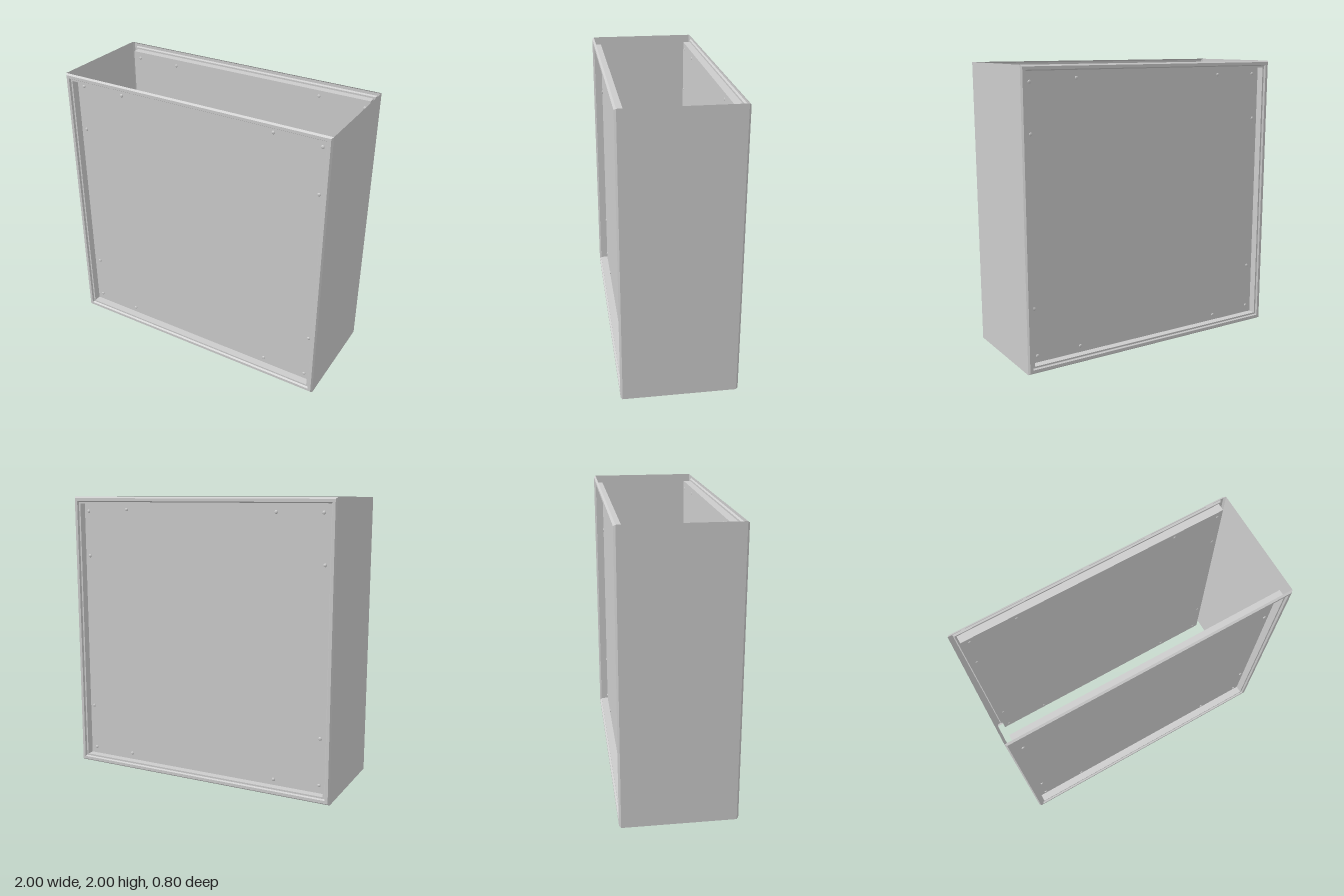
import * as THREE from 'three';

const material = new THREE.MeshStandardMaterial({
  color: 0xcccccc, flatShading: true, side: THREE.DoubleSide,
});
const screwMaterial = new THREE.MeshStandardMaterial({ color: 0xcccccc, side: THREE.DoubleSide });

// Rim profile from the outer edge to the recess floor: [inset, z]
const rimProfile = [
  [0, 0.385], [0.01, 0.398], [0.03, 0.398], [0.037, 0.386], [0.049, 0.386], [0.049, 0.333],
];
const panelZ = 0.333;

// Screw positions on a panel, seen from the front: [x, y]
const screwSpots = [
  [-0.895, 1.905], [-0.57, 1.905], [0.585, 1.91], [0.915, 1.895],
  [-0.91, 1.575], [0.915, 1.57], [-0.905, 0.43], [0.92, 0.425],
  [-0.905, 0.105], [-0.575, 0.09], [0.58, 0.095], [0.905, 0.095],
];

function addMesh(parent, name, geometry, mat = material) {
  const mesh = new THREE.Mesh(geometry, mat);
  mesh.name = name;
  parent.add(mesh);
  return mesh;
}

// Sweeps the profile around the square face as mitred rings
function rimGeometry() {
  const positions = [];
  const indices = [];
  const corners = [[-1, -1], [1, -1], [1, 1], [-1, 1]];
  for (const [inset, z] of rimProfile) {
    for (const [sx, sy] of corners) positions.push(sx * (1 - inset), 1 + sy * (1 - inset), z);
  }
  for (let i = 0; i < rimProfile.length - 1; i++) {
    for (let k = 0; k < 4; k++) {
      const n = (k + 1) % 4;
      const a = i * 4 + k, b = i * 4 + n, c = b + 4, d = a + 4;
      indices.push(a, b, c, a, c, d);
    }
  }
  const geometry = new THREE.BufferGeometry();
  geometry.setAttribute('position', new THREE.Float32BufferAttribute(positions, 3));
  geometry.setIndex(indices);
  geometry.computeVertexNormals();
  return geometry;
}

// One face: rim, recessed panel and screws; mirrorX keeps the screws aligned on the back
function createFace(name, mirrorX) {
  const face = new THREE.Group();
  face.name = name;
  addMesh(face, 'rim', rimGeometry());
  const size = 2 * (1 - 0.049);
  addMesh(face, 'recessedPanel', new THREE.PlaneGeometry(size, size)).position.set(0, 1, panelZ);

  const screwGeometry = new THREE.SphereGeometry(0.012, 12, 8);
  for (const [x, y] of screwSpots) {
    const screw = addMesh(face, 'screw', screwGeometry, screwMaterial);
    screw.position.set(x * mirrorX, y, panelZ + 0.002);
    screw.scale.z = 0.5;
  }
  return face;
}

export function createModel() {
  const model = new THREE.Group();
  model.name = 'openBoxCabinet';

  // Front and back faces
  model.add(createFace('frontFace', 1));
  const back = createFace('backFace', -1);
  back.rotation.y = Math.PI;
  model.add(back);

  // Thin side walls; top and bottom stay open
  for (const side of [1, -1]) {
    const wall = addMesh(model, side > 0 ? 'leftWall' : 'rightWall', new THREE.PlaneGeometry(0.77, 2));
    wall.position.set(side, 1, 0);
    wall.rotation.y = side * Math.PI / 2;
  }
  return model;
}
